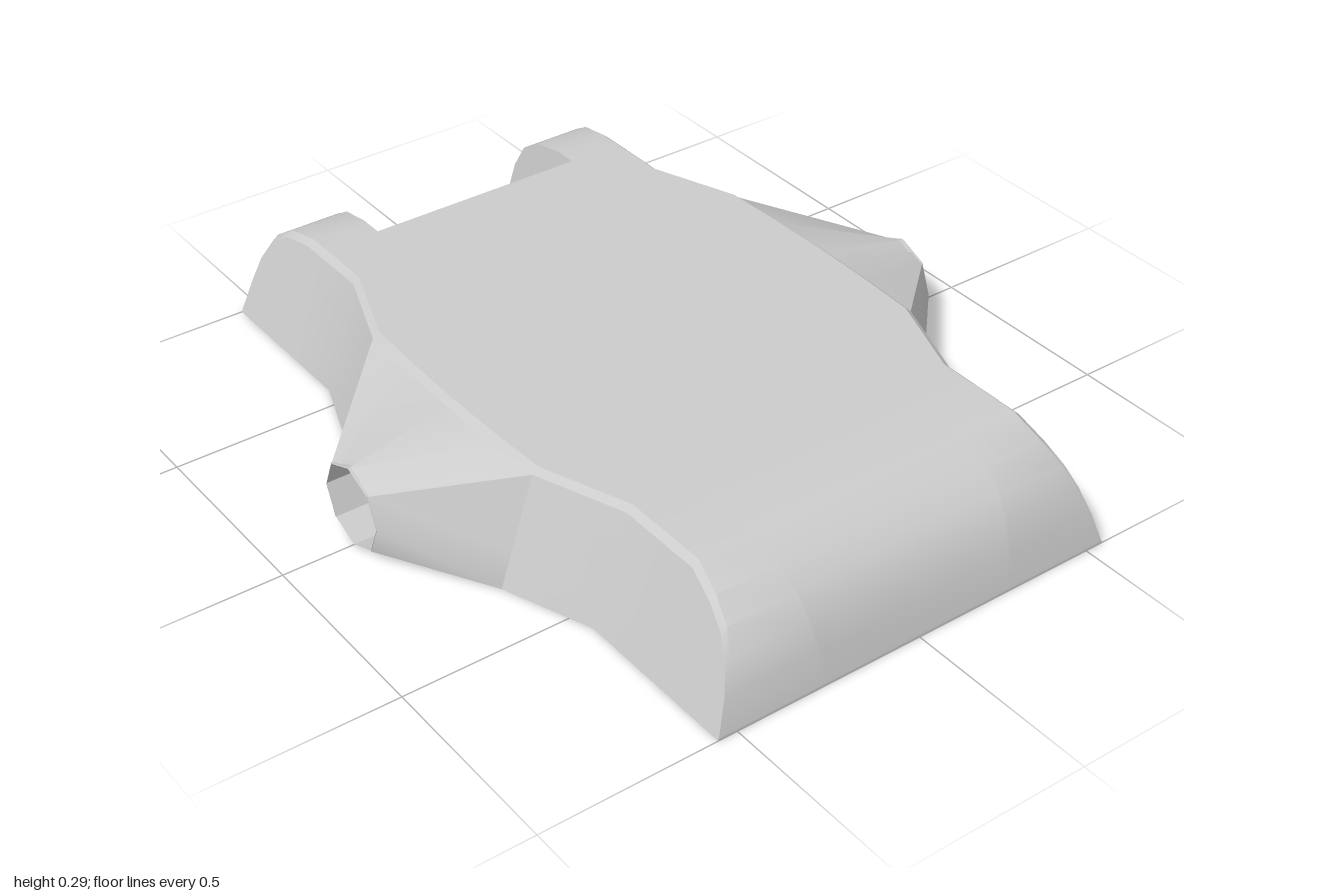
import * as THREE from 'three';
import { toCreasedNormals } from 'three/addons/utils/BufferGeometryUtils.js';

const material = new THREE.MeshStandardMaterial({ color: 0xcccccc, side: THREE.DoubleSide });
const TOP = 0.29;

// Stations along z: [z, height, half width at the bottom]
const stations = [
  [1, 0.005, 0.55], [0.982, 0.09, 0.55], [0.955, 0.16, 0.55], [0.92, 0.21, 0.55],
  [0.865, 0.252, 0.55], [0.79, TOP, 0.55], [0.56, TOP, 0.55], [0.33, TOP, 0.635],
  [0.17, TOP, 0.642], [0, TOP, 0.645], [-0.17, TOP, 0.642], [-0.33, TOP, 0.635],
  [-0.56, TOP, 0.55], [-0.715, TOP, 0.55], [-0.78, TOP, 0.55], [-0.87, 0.272, 0.55],
  [-0.93, 0.235, 0.55], [-0.965, 0.17, 0.55], [-0.985, 0.09, 0.55], [-1, 0.005, 0.55],
];
const outerX = (h, wb) => wb - 0.095 * h / TOP;   // leaning outer wall
const innerX = (h) => 0.26 + 0.035 * h / TOP;     // leaning inner wall

// Skins a list of equally long cross-sections
function loft(name, sections) {
  const cols = sections[0].length, index = [];
  for (let i = 0; i < sections.length - 1; i++) {
    for (let j = 0; j < cols - 1; j++) {
      const a = i * cols + j, b = a + cols;
      index.push(a, b, b + 1, a, b + 1, a + 1);
    }
  }
  const geometry = new THREE.BufferGeometry();
  geometry.setAttribute('position', new THREE.Float32BufferAttribute(sections.flat(2), 3));
  geometry.setIndex(index);
  const mesh = new THREE.Mesh(toCreasedNormals(geometry, 0.6), material);
  mesh.name = name;
  return mesh;
}

// Outer wall from the rim up, ending at the rounded top edge
const wallSection = ([z, h, wb]) => [0, 0.34, 0.67, 0.95]
  .map((t) => [outerX(h * t, wb), h * t, z]);

// Builds everything on one side for s = 1 or -1
function createSide(s) {
  const side = new THREE.Group();
  const flip = (sections) => {
    const mirrored = sections.map((sec) => sec.map(([x, y, z]) => [x * s, y, z]));
    return s > 0 ? mirrored : mirrored.reverse();
  };

  side.add(loft('frontSideWall', flip(stations.filter(([z]) => z >= 0.33).map(wallSection))));
  side.add(loft('backSideWall', flip(stations.filter(([z]) => z <= -0.33).map(wallSection))));

  // Top strip with a small bevel along its outer edge
  side.add(loft('topRail', flip(stations.map(([z, h, wb]) => {
    const x = outerX(h, wb);
    return [[outerX(h * 0.95, wb), h * 0.95, z], [x - 0.012, h, z], [innerX(h), h, z]];
  }))));

  // Inner wall of the open side channel, also the inside of the back leg
  side.add(loft('innerWall', flip(stations.map(([z, h]) =>
    [[innerX(h), h, z], [innerX(0), 0, z]]))));

  // Hub flare from the body side to the octagonal end
  const body = [], end = [];
  const front = wallSection([0.33, TOP, 0.635]);
  const mid = wallSection([0.17, TOP, 0.642])[3], centre = wallSection([0, TOP, 0.645])[3];
  const ring = (deg) => {
    const a = deg * Math.PI / 180;
    return [0.815, 0.105 + 0.108 * Math.sin(a), 0.108 * Math.cos(a)];
  };
  const back = ([x, y, z]) => [x, y, -z];
  const halfBody = [...front, mid];
  const halfEnd = [-45, 0, 45, 45, 67.5].map((d) => (d === 67.5
    ? ring(45).map((v, i) => (v + ring(90)[i]) / 2) : ring(d)));
  body.push(...halfBody, centre, ...halfBody.map(back).reverse());
  end.push(...halfEnd, ring(90), ...halfEnd.map(back).reverse());
  side.add(loft('hubFlare', flip([end, body])));

  // Octagonal sleeve running in to the inner wall
  const sleeveGeometry = new THREE.CylinderGeometry(0.108, 0.108, 0.55, 8, 1, true);
  sleeveGeometry.rotateZ(Math.PI / 2);
  const sleeve = new THREE.Mesh(toCreasedNormals(sleeveGeometry, 0.5), material);
  sleeve.name = 'hubSleeve';
  sleeve.position.set(s * 0.54, 0.108, 0);
  side.add(sleeve);

  side.name = s > 0 ? 'leftSide' : 'rightSide';
  return side;
}

export function createModel() {
  const model = new THREE.Group();
  model.name = 'bodyShell';
  model.add(createSide(1), createSide(-1));

  // Middle of the top, curving down at the front and stopping at the notch
  model.add(loft('topPanel', stations.filter(([z]) => z >= -0.715)
    .map(([z, h]) => [[innerX(h), h, z], [-innerX(h), h, z]])));

  // Slanted wall at the back notch
  model.add(loft('notchWall', [
    [[innerX(TOP), TOP, -0.715], [-innerX(TOP), TOP, -0.715]],
    [[innerX(0), 0, -0.75], [-innerX(0), 0, -0.75]],
  ]));

  // Flat floor and the thin lip that joins it to the front edge
  model.add(loft('floorPlate', [
    [[innerX(0), 0, -0.75], [-innerX(0), 0, -0.75]],
    [[innerX(0), 0, 1], [-innerX(0), 0, 1]],
  ]));
  model.add(loft('frontLip', [
    [[0.55, 0, 1], [-0.55, 0, 1]],
    [[0.55, 0.005, 1], [-0.55, 0.005, 1]],
  ]));
  return model;
}
